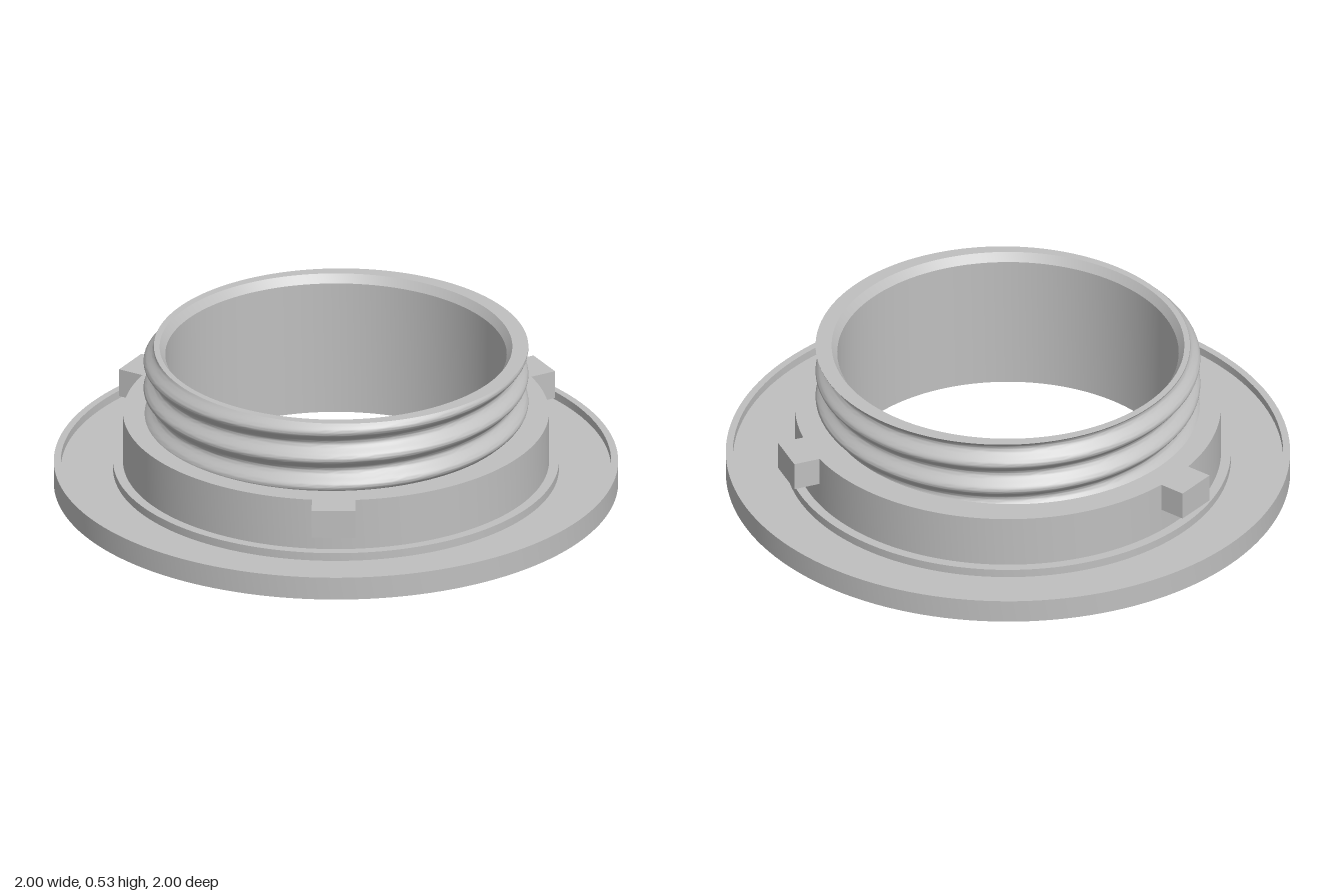
import * as THREE from 'three';
import { toCreasedNormals } from 'three/addons/utils/BufferGeometryUtils.js';

const SEGMENTS = 144;
const TOP = 0.53, COLLAR_TOP = 0.275, BORE = 0.605;

// Revolve a profile of [radius, y] pairs, keeping its corners sharp
function revolve(profile) {
  const points = profile.map(([r, y]) => new THREE.Vector2(r, y));
  return toCreasedNormals(new THREE.LatheGeometry(points, SEGMENTS), 0.5);
}

// Radius of the right-handed thread at a height and angle
function threadRadius(y, angle) {
  const pitch = 0.105, root = 0.645, depth = 0.037;
  const phase = (2 * Math.PI * (y - 0.43)) / pitch - angle;
  return root + depth * (0.5 + 0.5 * Math.cos(phase));
}

// Helical outer wall, closed by a flat lip at the top
function threadGeometry() {
  const rows = 48, positions = [], index = [];
  for (let j = 0; j <= rows + 1; j++) {
    const y = COLLAR_TOP + (TOP - COLLAR_TOP) * Math.min(j / rows, 1);
    for (let i = 0; i < SEGMENTS; i++) {
      const a = (i / SEGMENTS) * Math.PI * 2;
      const r = j > rows ? 0.625 : threadRadius(y, a);
      positions.push(r * Math.cos(a), y, -r * Math.sin(a));
    }
  }
  for (let j = 0; j <= rows; j++) {
    for (let i = 0; i < SEGMENTS; i++) {
      const n = (i + 1) % SEGMENTS;
      const a = j * SEGMENTS + i, b = j * SEGMENTS + n;
      const c = b + SEGMENTS, d = a + SEGMENTS;
      index.push(a, b, c, a, c, d);
    }
  }
  const geometry = new THREE.BufferGeometry();
  geometry.setAttribute('position', new THREE.Float32BufferAttribute(positions, 3));
  geometry.setIndex(index);
  return toCreasedNormals(geometry, 0.6);
}

export function createModel() {
  const model = new THREE.Group();
  model.name = 'threadedFlange';
  const grey = new THREE.MeshStandardMaterial({ color: 0xbfbfbf });
  grey.name = 'grey';

  function add(name, geometry) {
    const mesh = new THREE.Mesh(geometry, grey);
    mesh.name = name;
    model.add(mesh);
    return mesh;
  }

  // Base disc with a raised outer rim, recessed floor and inner step
  add('flange', revolve([
    [BORE, 0], [1, 0], [1, 0.085], [0.975, 0.085], [0.975, 0.055],
    [0.79, 0.055], [0.79, 0.085], [0.755, 0.085],
  ]));

  // Plain collar above the flange
  add('collar', revolve([[0.755, 0.085], [0.755, COLLAR_TOP], [0.64, COLLAR_TOP]]));

  // Threaded neck and the bore through everything
  add('thread', threadGeometry());
  add('bore', revolve([[0.625, TOP], [BORE, TOP - 0.03], [BORE, 0]]));

  // Three locking tabs around the collar
  for (let i = 0; i < 3; i++) {
    const a = (i * Math.PI * 2) / 3;
    const tab = add('lockingTab', new THREE.BoxGeometry(0.145, 0.104, 0.155));
    tab.position.set(0.7745 * Math.cos(a), 0.223, -0.7745 * Math.sin(a));
    tab.rotation.y = a;
  }
  return model;
}
